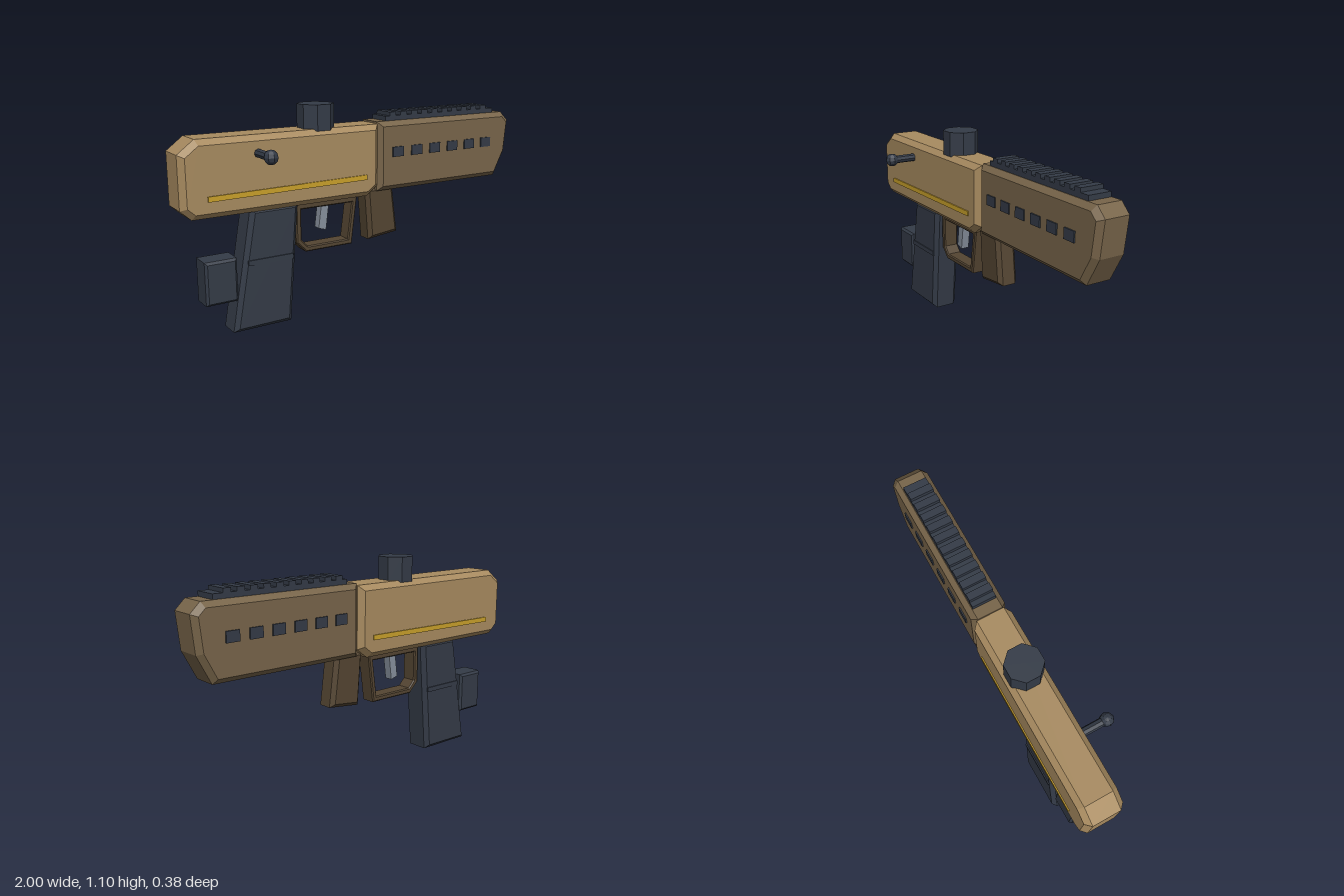
import * as THREE from 'three';

const mat = (name, color) => {
  const m = new THREE.MeshStandardMaterial({ color });
  m.name = name;
  return m;
};

export function createModel() {
  const tan = mat('tan', 0xa88b60);
  const brown = mat('brown', 0x78654a);
  const darkBrown = mat('darkBrown', 0x544532);
  const dark = mat('darkSlate', 0x343b47);
  const gold = mat('gold', 0xc9a02a);
  const steel = mat('steel', 0x87909c);

  const group = new THREE.Group();
  const ZC = -0.083; // centre plane of the main parts

  const add = (name, geometry, material, x = 0, y = 0, z = ZC) => {
    const mesh = new THREE.Mesh(geometry, material);
    mesh.name = name;
    mesh.position.set(x, y, z);
    group.add(mesh);
    return mesh;
  };
  const box = (name, w, h, d, material, x, y, z) =>
    add(name, new THREE.BoxGeometry(w, h, d), material, x, y, z);

  // Side profile extruded to a full width, with chamfered edges inside the outline
  const slab = (name, points, width, bevel, material, hole) => {
    const shape = new THREE.Shape(points.map(([x, y]) => new THREE.Vector2(x, y)));
    if (hole) shape.holes.push(new THREE.Path(hole.map(([x, y]) => new THREE.Vector2(x, y))));
    const depth = width - 2 * bevel;
    const geometry = new THREE.ExtrudeGeometry(shape, {
      depth, bevelEnabled: bevel > 0, bevelThickness: bevel, bevelSize: bevel,
      bevelOffset: -bevel, bevelSegments: 1,
    });
    geometry.translate(0, 0, -depth / 2);
    return add(name, geometry, material);
  };

  // Main housings
  slab('receiver', [[-1, 0.655], [-0.945, 0.605], [0.015, 0.605], [0.08, 0.655],
    [0.08, 0.98], [-0.915, 0.98], [-1, 0.915]], 0.202, 0.028, tan);
  slab('handguard', [[0.08, 0.62], [0.905, 0.62], [0.978, 0.76], [0.997, 0.94],
    [0.945, 0.99], [0.08, 0.99]], 0.184, 0.026, brown);

  // Stripes and vents on both sides
  for (const s of [-1, 1]) {
    const stripe = box('sideStripe', 0.87, 0.026, 0.009, gold, -0.438, 0.706, ZC + s * 0.103);
    stripe.rotation.z = 0.011;
    for (let i = 0; i < 6; i++) {
      box('vent', 0.07, 0.053, 0.009, dark, 0.2 + i * 0.122, 0.827, ZC + s * 0.0945);
    }
  }

  // Top rail with teeth
  box('railBase', 0.745, 0.03, 0.126, dark, 0.511, 1.0, ZC);
  for (let i = 0; i < 10; i++) {
    box('railTooth', 0.04, 0.024, 0.126, dark, 0.186 + i * 0.0694, 1.023, ZC);
  }

  // Octagonal sight turret
  const turret = new THREE.CylinderGeometry(0.095, 0.095, 0.13, 8).toNonIndexed();
  turret.rotateY(Math.PI / 8);
  turret.computeVertexNormals();
  add('sightTurret', turret, dark, -0.247, 1.035);

  // Bolt handle
  const rod = new THREE.CylinderGeometry(0.022, 0.022, 0.15, 8).toNonIndexed();
  rod.rotateX(Math.PI / 2);
  rod.computeVertexNormals();
  add('boltRod', rod, dark, -0.612, 0.893, 0.065);
  const knob = new THREE.SphereGeometry(0.036, 8, 6).toNonIndexed();
  knob.computeVertexNormals();
  add('boltKnob', knob, dark, -0.612, 0.893, 0.154);

  // Magazine, its raised band and the block behind it
  slab('magazine', [[-0.757, 0], [-0.44, 0], [-0.388, 0.62], [-0.647, 0.62]], 0.155, 0.022, dark);
  box('magazineBand', 0.245, 0.025, 0.167, dark, -0.553, 0.352, ZC);
  slab('rearBlock', [[-0.89, 0.163], [-0.725, 0.163], [-0.725, 0.384], [-0.89, 0.384]],
    0.13, 0.012, dark);

  // Trigger guard and trigger
  slab('triggerGuard',
    [[-0.39, 0.61], [-0.39, 0.4], [-0.335, 0.345], [-0.06, 0.345], [-0.025, 0.61]],
    0.085, 0.006, darkBrown,
    [[-0.36, 0.572], [-0.058, 0.572], [-0.085, 0.374], [-0.325, 0.374], [-0.36, 0.412]]);
  slab('trigger', [[-0.25, 0.453], [-0.207, 0.44], [-0.186, 0.6], [-0.23, 0.6]],
    0.045, 0, steel);

  // Foregrip
  slab('foregrip', [[0.045, 0.352], [0.232, 0.372], [0.198, 0.64], [0.023, 0.64]],
    0.113, 0.02, darkBrown);

  return group;
}
